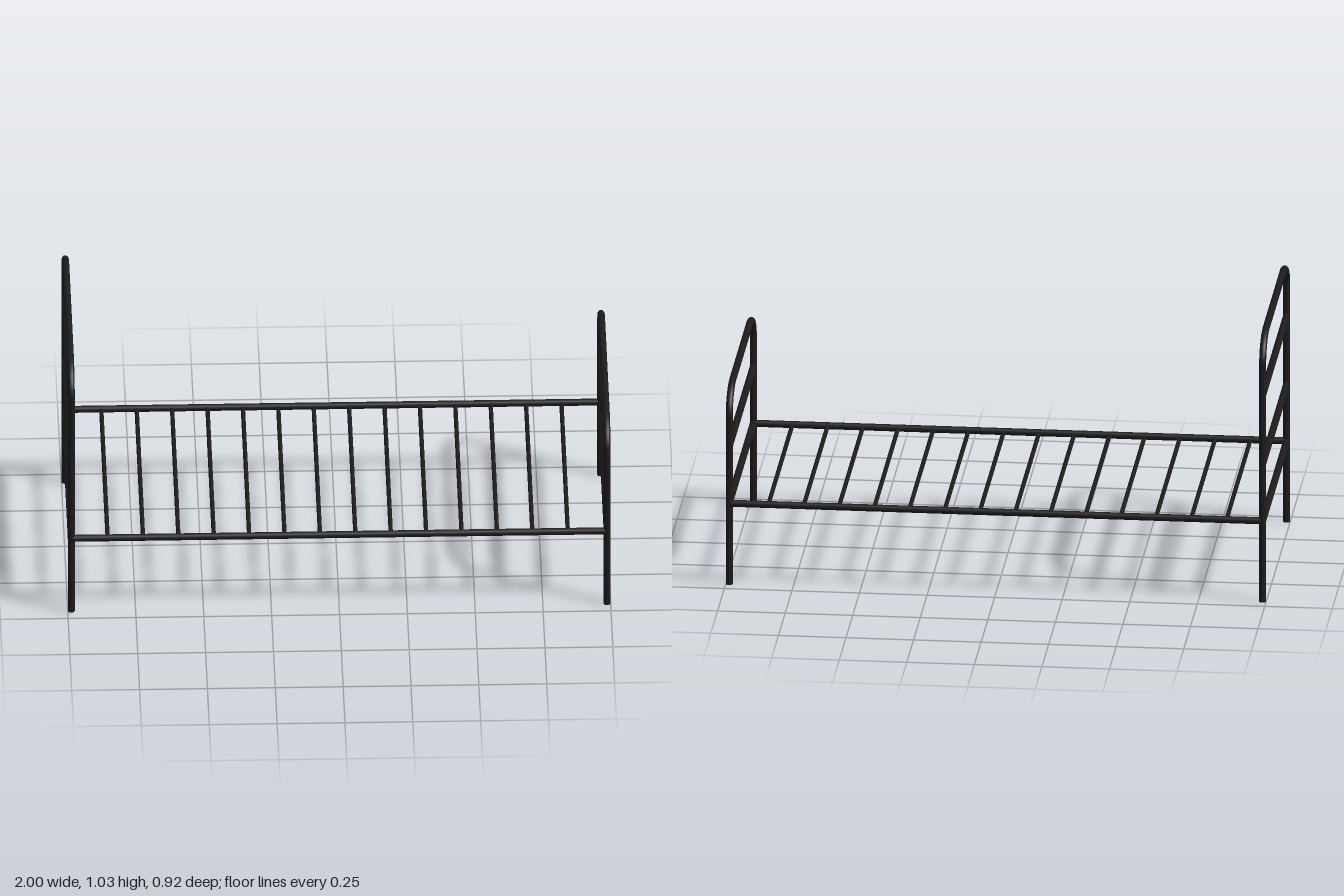
import * as THREE from 'three';

const R = 0.013;        // main tube radius
const END_X = 0.987;    // end frames
const SIDE_Z = 0.447;   // posts and side rails
const BED_Y = 0.315;    // height of the bed base

const metal = new THREE.MeshStandardMaterial({ color: 0x1c1c1c });

// Straight round bar centred at (x, y, z), lying along the x or z axis
function bar(name, axis, length, radius, x, y, z) {
  const geometry = new THREE.CylinderGeometry(radius, radius, length, 16);
  if (axis === 'x') geometry.rotateZ(Math.PI / 2);
  else geometry.rotateX(Math.PI / 2);
  const mesh = new THREE.Mesh(geometry, metal);
  mesh.name = name;
  mesh.position.set(x, y, z);
  return mesh;
}

// One bent tube: up a post, round the corners, across the top and down again
function archTube(top) {
  const w = 0.132, h = 0.098, k = 0.448; // corner width, height, handle inset
  const v = (y, z) => new THREE.Vector3(0, y, z);
  const path = new THREE.CurvePath();
  path.add(new THREE.LineCurve3(v(0, SIDE_Z), v(top - h, SIDE_Z)));
  path.add(new THREE.CubicBezierCurve3(v(top - h, SIDE_Z), v(top - h * k, SIDE_Z),
    v(top, SIDE_Z - w * k), v(top, SIDE_Z - w)));
  path.add(new THREE.LineCurve3(v(top, SIDE_Z - w), v(top, w - SIDE_Z)));
  path.add(new THREE.CubicBezierCurve3(v(top, w - SIDE_Z), v(top, w * k - SIDE_Z),
    v(top - h * k, -SIDE_Z), v(top - h, -SIDE_Z)));
  path.add(new THREE.LineCurve3(v(top - h, -SIDE_Z), v(0, -SIDE_Z)));
  return new THREE.TubeGeometry(path, 160, R, 16, false);
}

// Head or foot frame with its cross bars
function endFrame(name, x, top, barHeights) {
  const group = new THREE.Group();
  group.name = name;
  group.position.x = x;
  const arch = new THREE.Mesh(archTube(top), metal);
  arch.name = name + 'Arch';
  group.add(arch);
  for (const y of barHeights) {
    group.add(bar(name + 'CrossBar', 'z', 2 * SIDE_Z, R, 0, y, 0));
  }
  // Closed feet
  for (const side of [-1, 1]) {
    const foot = new THREE.Mesh(new THREE.CylinderGeometry(R, R, 0.02, 16), metal);
    foot.name = name + 'FootCap';
    foot.position.set(0, 0.01, side * SIDE_Z);
    group.add(foot);
  }
  return group;
}

export function createModel() {
  const bed = new THREE.Group();
  bed.name = 'bedFrame';

  bed.add(endFrame('headboard', -END_X, 1.022, [BED_Y, 0.537, 0.805]));
  bed.add(endFrame('footboard', END_X, 0.752, [BED_Y, 0.537]));

  // Side rails
  for (const side of [-1, 1]) {
    bed.add(bar('sideRail', 'x', 2 * END_X, R, 0, BED_Y, side * SIDE_Z));
  }

  // Slats
  for (let i = 0; i < 14; i++) {
    bed.add(bar('slat', 'z', 2 * SIDE_Z, 0.008, -0.853 + i * 0.1304, BED_Y, 0));
  }
  return bed;
}
